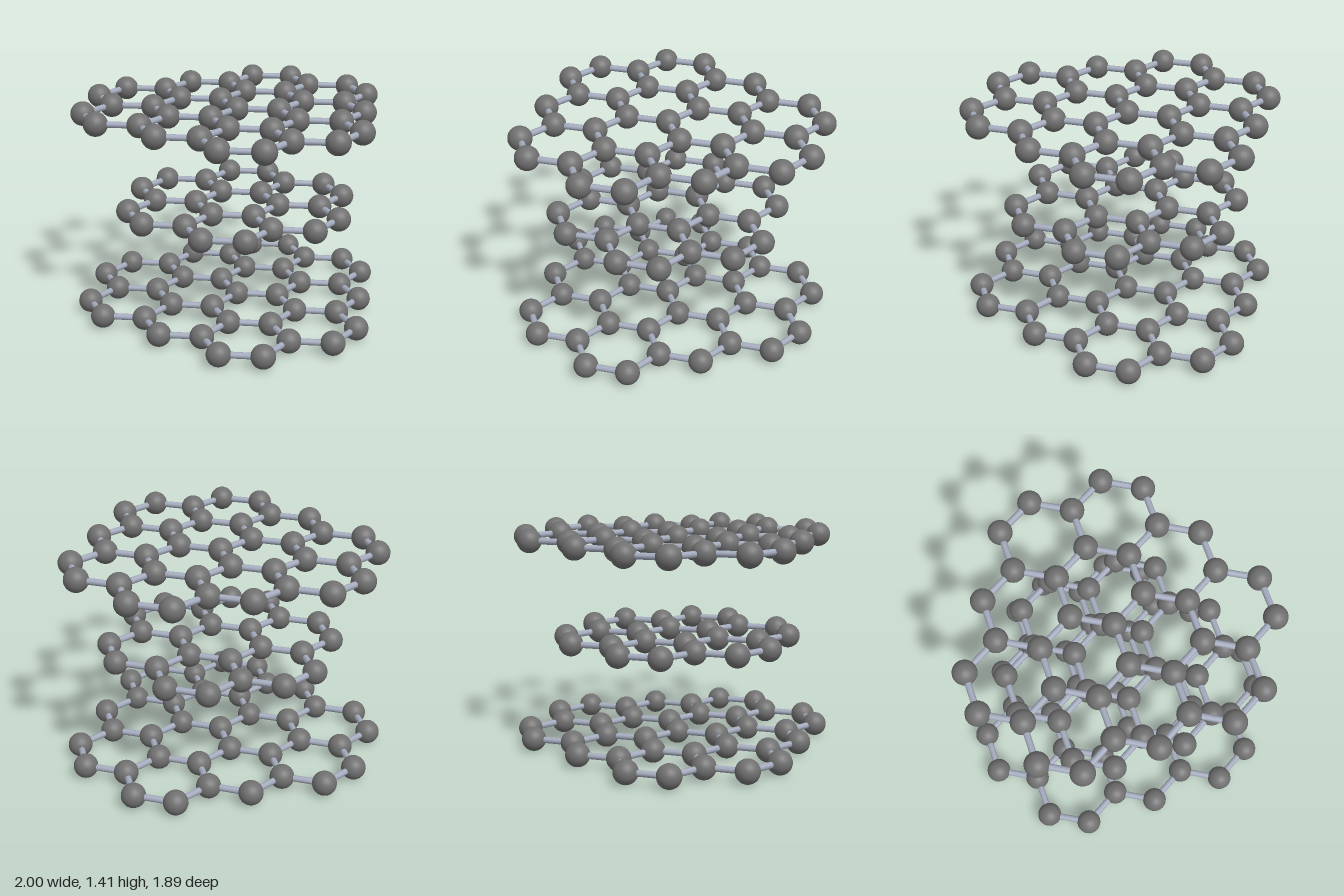
import * as THREE from 'three';

const BOND = 0.2667;                      // distance between neighbouring atoms
const DX = BOND * Math.sqrt(3) / 2;       // half the width of a hexagon
const ATOM_R = 0.0762, BOND_R = 0.02, SPACING = 0.629;

const atomMaterial = new THREE.MeshStandardMaterial({ color: 0x707070 });
const bondMaterial = new THREE.MeshStandardMaterial({ color: 0xa4abbd });
const atomGeometry = new THREE.SphereGeometry(ATOM_R, 24, 16);
const bondGeometry = new THREE.CylinderGeometry(BOND_R, BOND_R, BOND, 12, 1, true);

// One honeycomb sheet: rows of hexagons, each row centred on x = 0
function makeSheet(name, rowCounts, firstZ, y) {
  const sheet = new THREE.Group();
  sheet.name = name;
  const atoms = new Map(), bonds = new Map();

  rowCounts.forEach((count, row) => {
    for (let i = 0; i < count; i++) {
      const cx = (2 * i - count + 1) * DX;
      const cz = firstZ + row * 1.5 * BOND;
      // corners shared by neighbouring hexagons are kept only once
      const keys = [];
      for (let k = 0; k < 6; k++) {
        const a = k * Math.PI / 3;
        const p = new THREE.Vector3(cx + BOND * Math.sin(a), 0, cz + BOND * Math.cos(a));
        const key = `${Math.round(p.x / DX)},${Math.round((p.z + 2) * 50)}`;
        if (!atoms.has(key)) atoms.set(key, p);
        keys.push(key);
      }
      keys.forEach((key, k) => {
        const pair = [key, keys[(k + 1) % 6]].sort();
        bonds.set(pair.join('|'), pair);
      });
    }
  });

  for (const p of atoms.values()) {
    const atom = new THREE.Mesh(atomGeometry, atomMaterial);
    atom.name = 'atom';
    atom.position.copy(p);
    sheet.add(atom);
  }

  const up = new THREE.Vector3(0, 1, 0);
  for (const [ka, kb] of bonds.values()) {
    const a = atoms.get(ka), b = atoms.get(kb);
    const bond = new THREE.Mesh(bondGeometry, bondMaterial);
    bond.name = 'bond';
    bond.position.addVectors(a, b).multiplyScalar(0.5);
    bond.quaternion.setFromUnitVectors(up, b.clone().sub(a).normalize());
    sheet.add(bond);
  }

  sheet.position.y = y;
  return sheet;
}

export function createModel() {
  const model = new THREE.Group();
  model.name = 'layeredLattice';
  const outerRows = [3, 4, 3, 2], middleRows = [2, 3, 2];
  // the middle sheet is shifted by half a hexagon against the outer two
  model.add(
    makeSheet('bottomSheet', outerRows, -2.25 * BOND, ATOM_R),
    makeSheet('middleSheet', middleRows, -1.75 * BOND, ATOM_R + SPACING),
    makeSheet('topSheet', outerRows, -2.25 * BOND, ATOM_R + 2 * SPACING)
  );
  return model;
}
